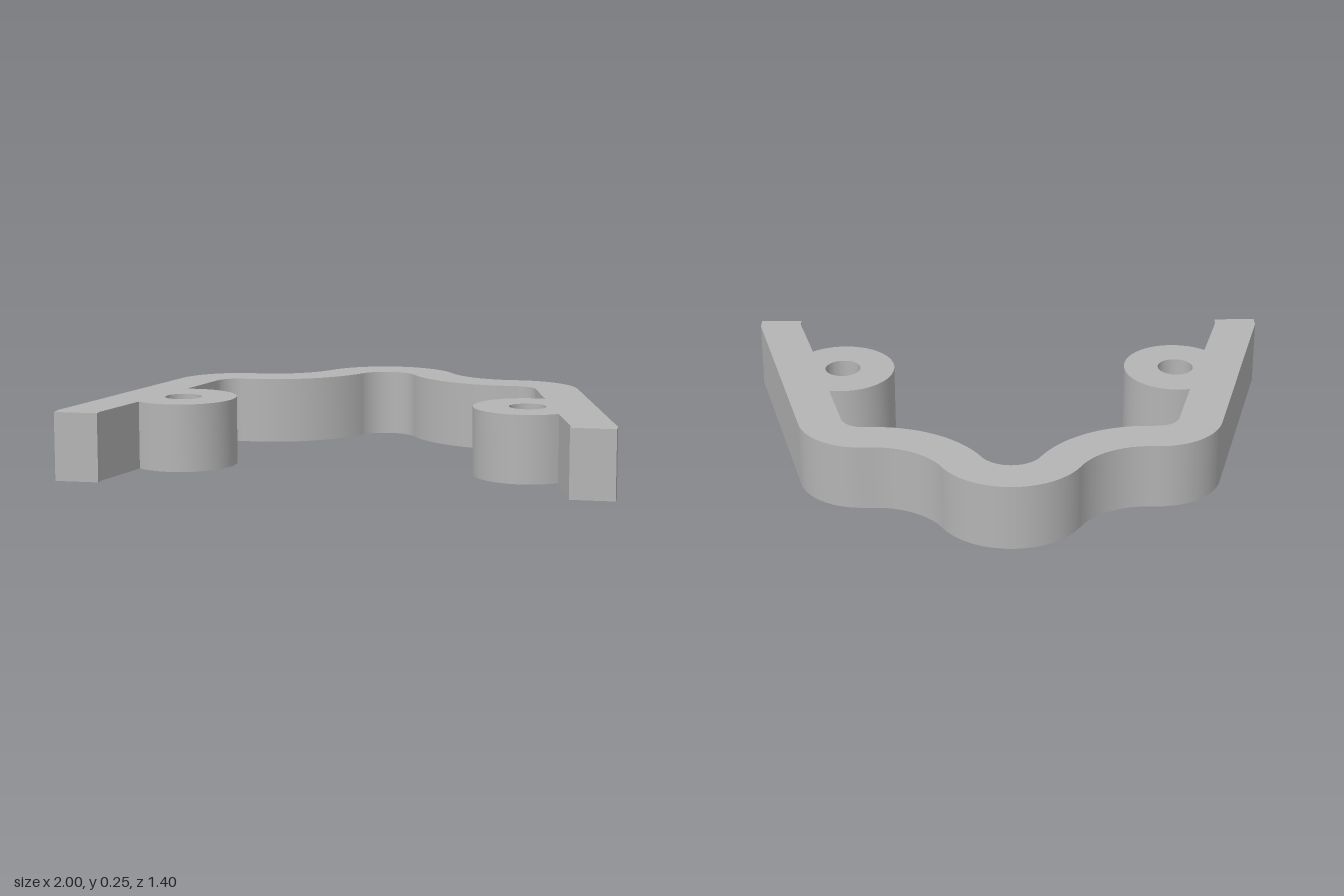
import * as THREE from 'three';
import { toCreasedNormals } from 'three/addons/utils/BufferGeometryUtils.js';

const HEIGHT = 0.25;
const BOSS = { x: 0.645, y: -0.257, r: 0.199, hole: 0.068 };

// Right half of the outline, from the outer crown round the leg to the inner crown.
function halfOutline() {
  const { PI } = Math;
  const flank = Math.atan2(0.267, 0.5); // where crown and valley arcs meet
  const lean = Math.atan2(0.245, 0.969); // tilt of the leg
  const deg = PI / 180;
  const p = new THREE.Path();
  p.moveTo(0, 0.7);
  // outer edge: crown, valley, shoulder, leg
  p.absarc(0, 0.42, 0.28, PI / 2, flank, true);
  p.absarc(0.5, 0.687, 0.287, flank + PI, 1.5 * PI, false);
  p.absarc(0.545, 0.155, 0.245, PI / 2, lean, true);
  p.lineTo(1, -0.65);
  p.lineTo(1, -0.7);
  p.lineTo(0.84, -0.7);
  p.lineTo(0.84, -0.665);
  // screw boss bulging from the inner side of the leg
  p.absarc(BOSS.x, BOSS.y, BOSS.r, -50 * deg, -282 * deg, true);
  // inner edge: shoulder, valley, crown
  p.absarc(0.545, 0.155, 0.085, lean, PI / 2, false);
  p.absarc(0.5, 0.687, 0.447, 1.5 * PI, flank + PI, true);
  p.absarc(0, 0.42, 0.12, flank, PI / 2, false);
  const pts = p.getPoints(16);
  return pts.filter((v, i) => i === 0 || v.distanceTo(pts[i - 1]) > 1e-3);
}

export function createModel() {
  const group = new THREE.Group();
  group.name = 'bracket';
  const grey = new THREE.MeshStandardMaterial({ color: 0xb4b4b4 });
  grey.name = 'grey';

  // Mirror the half outline into one closed loop
  const half = halfOutline();
  const mirrored = half.slice(1, -1).reverse().map((v) => new THREE.Vector2(-v.x, v.y));
  const shape = new THREE.Shape([...half, ...mirrored]);

  // Screw holes through the bosses
  for (const side of [1, -1]) {
    const hole = new THREE.Path();
    hole.absarc(side * BOSS.x, BOSS.y, BOSS.hole, 0, Math.PI * 2, false);
    shape.holes.push(hole);
  }

  const solid = new THREE.ExtrudeGeometry(shape, { depth: HEIGHT, bevelEnabled: false, curveSegments: 24 });
  solid.rotateX(-Math.PI / 2);
  const frame = new THREE.Mesh(toCreasedNormals(solid, 0.22), grey);
  frame.name = 'bracketFrame';
  group.add(frame);
  return group;
}
